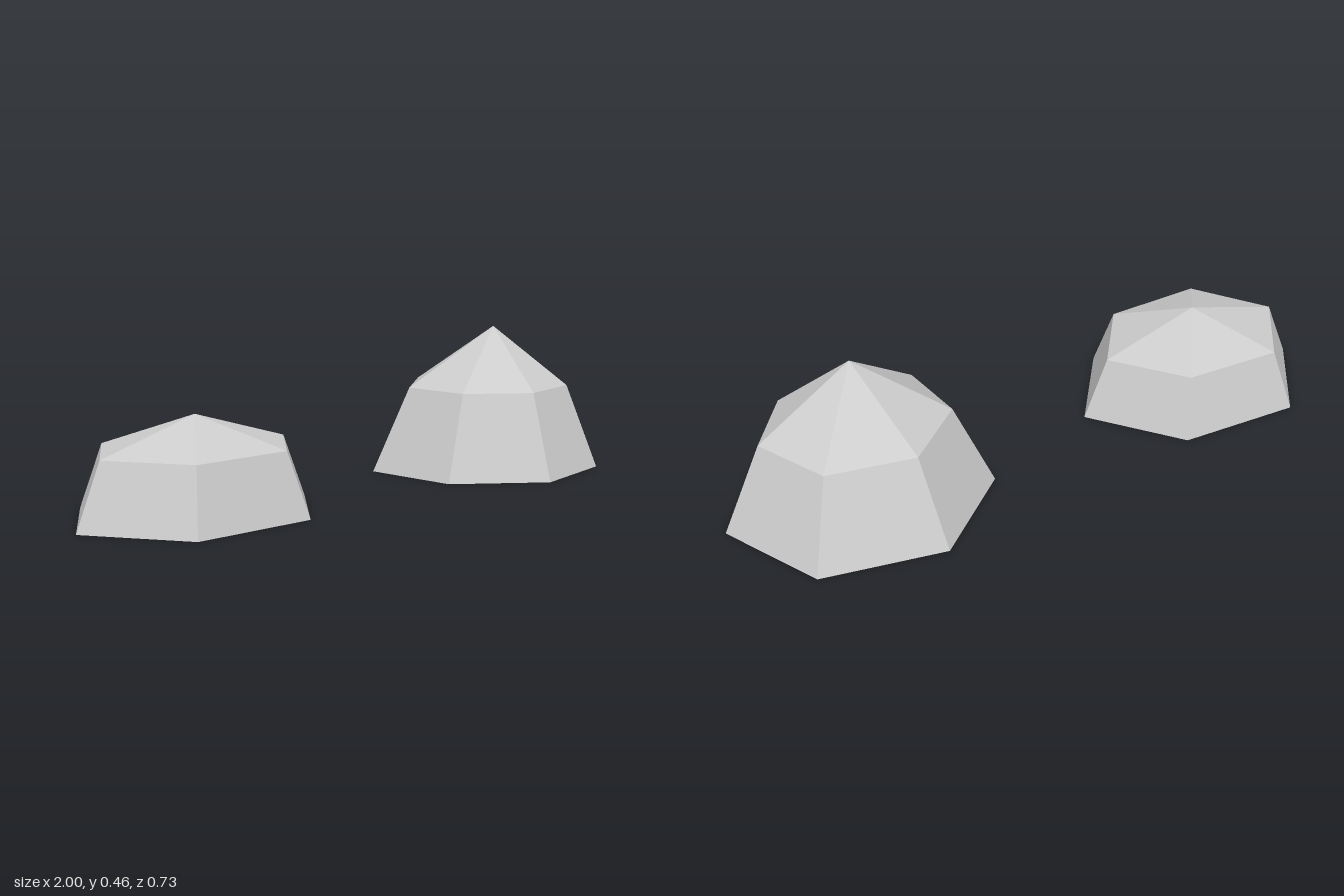
import * as THREE from 'three';

const stone = new THREE.MeshStandardMaterial({ color: 0xcccccc, side: THREE.DoubleSide, flatShading: true });
stone.name = 'stone grey';

function facetMesh(name, positions) {
  const geometry = new THREE.BufferGeometry();
  geometry.setAttribute('position', new THREE.Float32BufferAttribute(positions, 3));
  geometry.computeVertexNormals();
  const mesh = new THREE.Mesh(geometry, stone);
  mesh.name = name;
  return mesh;
}

// Open-bottomed rock: an irregular base outline tapers to a shoulder, then to a peak
function rock({ name, centre: [cx, cz], outline, taper, shoulder, peak }) {
  const base = outline.map(([x, z]) => [x - cx, 0, z - cz]);
  const rim = base.map(([x, , z]) => [x * taper, shoulder, z * taper]);
  const walls = [], cap = [];
  base.forEach((a, i) => {
    const j = (i + 1) % base.length;
    walls.push(...a, ...rim[i], ...base[j], ...base[j], ...rim[i], ...rim[j]);
    cap.push(...rim[i], 0, peak, 0, ...rim[j]);
  });
  const group = new THREE.Group();
  group.name = name;
  group.add(facetMesh(name + 'Walls', walls), facetMesh(name + 'Cap', cap));
  group.position.set(cx, 0, cz);
  return group;
}

export function createModel() {
  const model = new THREE.Group();
  model.name = 'rocks';

  // Tall seven-sided rock
  model.add(rock({
    name: 'tallRock', centre: [0.577, 0.03], taper: 0.703, shoulder: 0.268, peak: 0.459,
    outline: [[1, 0.03], [0.804, 0.287], [0.49, 0.365], [0.232, 0.176],
      [0.2, -0.137], [0.476, -0.366], [0.853, -0.288]],
  }));

  // Low six-sided rock
  model.add(rock({
    name: 'lowRock', centre: [-0.604, 0], taper: 0.8, shoulder: 0.192, peak: 0.287,
    outline: [[-0.204, 0], [-0.412, 0.276], [-0.805, 0.284], [-1, 0],
      [-0.806, -0.289], [-0.417, -0.27]],
  }));
  return model;
}
